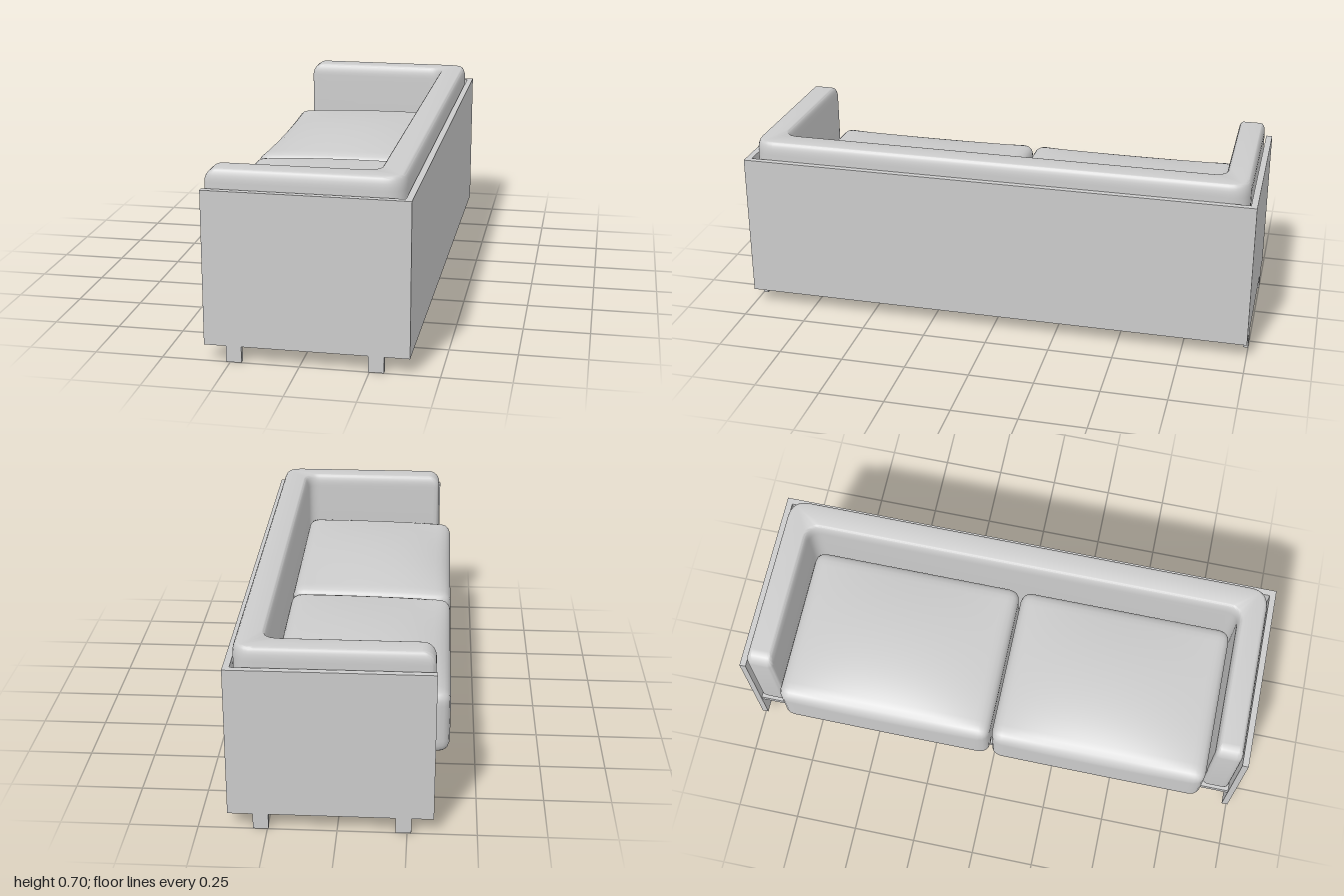
import * as THREE from 'three';
import { mergeVertices, toCreasedNormals } from 'three/addons/utils/BufferGeometryUtils.js';

const material = new THREE.MeshStandardMaterial({ color: 0xcccccc, side: THREE.DoubleSide });

function addMesh(group, name, geometry) {
  const mesh = new THREE.Mesh(geometry, material);
  mesh.name = name;
  group.add(mesh);
  return mesh;
}

// Box given by its low and high corners
function addBox(group, name, [x0, y0, z0], [x1, y1, z1]) {
  const mesh = addMesh(group, name, new THREE.BoxGeometry(x1 - x0, y1 - y0, z1 - z0));
  mesh.position.set((x0 + x1) / 2, (y0 + y1) / 2, (z0 + z1) / 2);
}

// Closed shape from [x, y, cornerRadius] points
function roundedShape(points) {
  const shape = new THREE.Shape();
  const n = points.length;
  points.forEach(([x, y, r], i) => {
    const p = new THREE.Vector2(x, y);
    const toward = ([a, b]) => new THREE.Vector2(a, b).sub(p).setLength(r).add(p);
    const start = toward(points[(i + n - 1) % n]);
    const end = toward(points[(i + 1) % n]);
    if (i === 0) shape.moveTo(start.x, start.y);
    else shape.lineTo(start.x, start.y);
    shape.quadraticCurveTo(x, y, end.x, end.y);
  });
  shape.closePath();
  return shape;
}

// U-shaped padding with soft edges and rounder arm fronts
function paddingGeometry() {
  const bottom = 0.24, top = 0.70, soft = 0.05, inset = 0.018;
  const shape = roundedShape([
    [-0.34, -0.97, 0.025], [0.367, -0.97, 0.08], [0.367, 0.97, 0.08], [-0.34, 0.97, 0.025],
    [-0.34, 0.865, 0.025], [0.255, 0.865, 0.05], [0.255, -0.865, 0.05], [-0.34, -0.865, 0.025],
  ]);
  const geometry = new THREE.ExtrudeGeometry(shape, {
    depth: top - bottom - 2 * soft, bevelThickness: soft, bevelSize: inset,
    bevelOffset: -inset, bevelSegments: 6, curveSegments: 8,
  });
  geometry.rotateX(-Math.PI / 2);
  geometry.translate(0, bottom + soft, 0);
  const pos = geometry.attributes.position;
  for (let i = 0; i < pos.count; i++) {
    if (pos.getX(i) > -0.2) continue;
    const y = pos.getY(i);
    const t = Math.min(1, Math.max(0, y - (top - soft), bottom + soft - y) / soft);
    pos.setX(i, pos.getX(i) + 0.03 * (1 - Math.sqrt(1 - t * t)));
  }
  return toCreasedNormals(geometry, 0.6);
}

// Rounded cushion, crowned on top and slightly sunk along its front edge
function cushionGeometry(w, h, d, r) {
  let geometry = new THREE.BoxGeometry(w, h, d, 30, 14, 40);
  geometry.deleteAttribute('normal');
  geometry.deleteAttribute('uv');
  geometry = mergeVertices(geometry);
  const pos = geometry.attributes.position;
  const p = new THREE.Vector3(), core = new THREE.Vector3();
  const limit = new THREE.Vector3(w / 2 - r, h / 2 - r, d / 2 - r);
  const low = limit.clone().negate();
  for (let i = 0; i < pos.count; i++) {
    p.fromBufferAttribute(pos, i);
    core.copy(p).clamp(low, limit);
    p.sub(core);
    if (p.lengthSq() > 0) p.setLength(r);
    p.add(core);
    const u = (2 * p.x) / w, v = (2 * p.z) / d;
    const across = Math.max(0, 1 - v * v);
    const crown = 0.035 * Math.max(0, 1 - u * u) * across;
    const sag = 0.022 * across * Math.pow(Math.max(0, -u), 4);
    const rise = 0.012 * (u + 1) / 2;
    p.y += (crown - sag + rise) * Math.max(0, p.y / h + 0.5);
    pos.setXYZ(i, p.x, p.y, p.z);
  }
  geometry.computeVertexNormals();
  return geometry;
}

export function createModel() {
  const sofa = new THREE.Group();
  sofa.name = 'sofa';

  // Thin outer shell and seat platform
  const front = -0.345, back = 0.393, t = 0.024;
  addBox(sofa, 'backPanel', [back - t, 0.06, -1 + t], [back, 0.63, 1 - t]);
  addBox(sofa, 'seatPlatform', [front + 0.005, 0.215, -1 + t], [back - t, 0.24, 1 - t]);

  for (const side of [-1, 1]) {
    const name = side > 0 ? 'left' : 'right';
    const span = (a, b) => [Math.min(side * a, side * b), Math.max(side * a, side * b)];

    // End panel
    const [p0, p1] = span(1 - t, 1);
    addBox(sofa, name + 'EndPanel', [front, 0.06, p0], [back, 0.63, p1]);

    // Flat feet under the end panel
    const [f0, f1] = span(0.98, 1);
    for (const x of [-0.265, 0.246]) {
      addBox(sofa, name + (x < 0 ? 'FrontFoot' : 'BackFoot'), [x, 0, f0], [x + 0.056, 0.06, f1]);
    }

    // Seat cushion
    const cushion = addMesh(sofa, name + 'SeatCushion', cushionGeometry(0.645, 0.245, 0.856, 0.042));
    cushion.position.set(-0.0725, 0.3655, side * 0.432);
  }

  // Padding along the arms and back
  addMesh(sofa, 'armAndBackPadding', paddingGeometry());
  return sofa;
}
